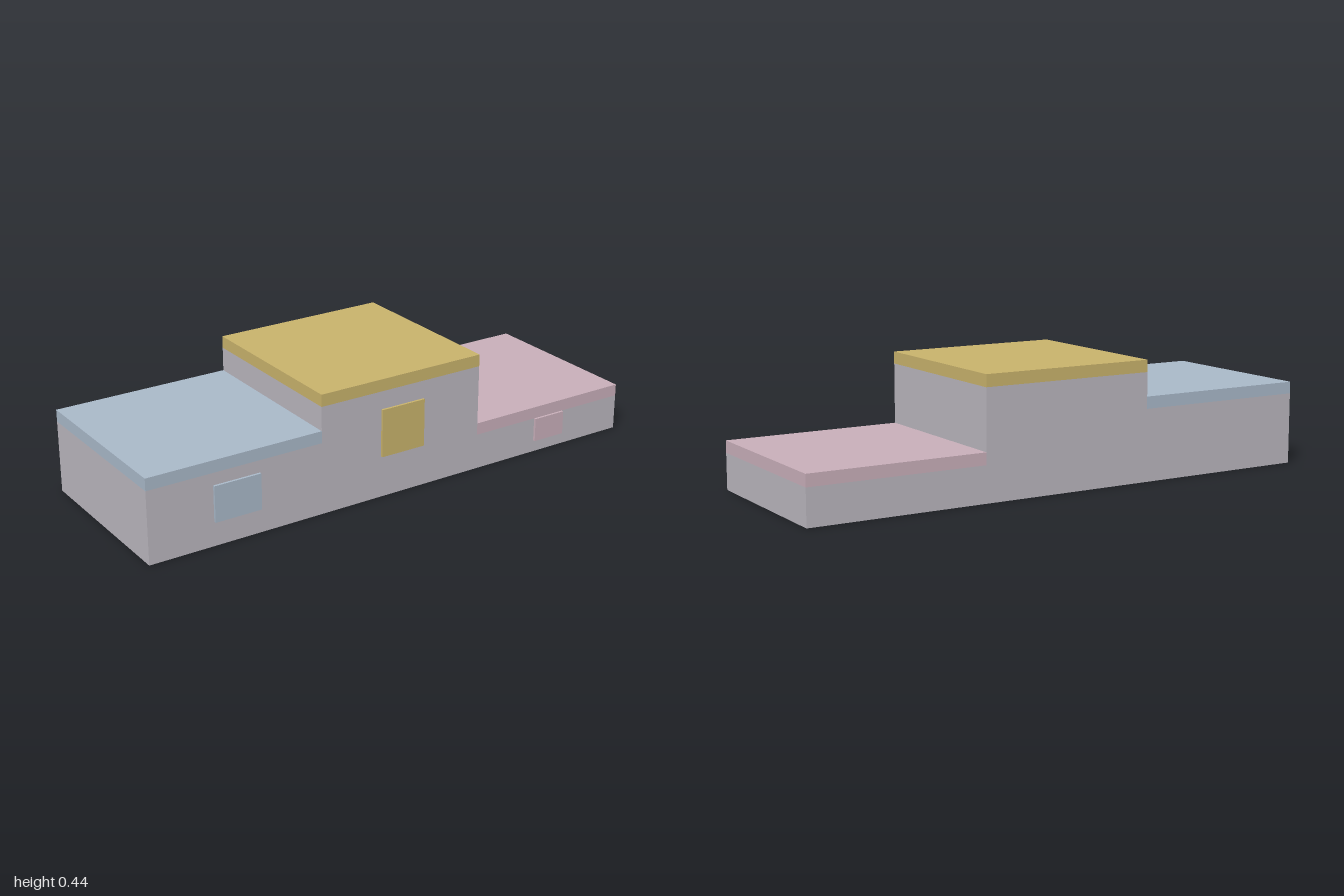
import * as THREE from 'three';

const material = (name, color) => {
  const m = new THREE.MeshStandardMaterial({ color });
  m.name = name;
  return m;
};

export function createModel() {
  const grey = material('stone grey', 0xbab6be);
  const gold = material('gold', 0xc9b36c);
  const blue = material('pale blue', 0xa9b9c9);
  const pink = material('dusty pink', 0xc9afba);

  const width = 2 / 3, depth = 2 / 3, capHeight = 0.0445;
  const back = -0.338, front = back + depth, plaqueDepth = 0.009;

  const group = new THREE.Group();
  group.name = 'podium';

  // x centre, full height, colour, plaque width and height
  const steps = [
    { name: 'second', x: -width, h: 0.3115, mat: blue, pw: 0.178, ph: 0.133 },
    { name: 'first', x: 0, h: 0.4445, mat: gold, pw: 0.178, ph: 0.178 },
    { name: 'third', x: width, h: 0.178, mat: pink, pw: 0.133, ph: 0.089 },
  ];

  const box = (name, w, h, d, x, y, z, mat) => {
    const mesh = new THREE.Mesh(new THREE.BoxGeometry(w, h, d), mat);
    mesh.name = name;
    mesh.position.set(x, y, z);
    group.add(mesh);
  };

  // Stepped body as one extruded outline
  const outline = new THREE.Shape();
  outline.moveTo(-1, 0);
  for (const s of steps) {
    outline.lineTo(s.x - width / 2, s.h - capHeight);
    outline.lineTo(s.x + width / 2, s.h - capHeight);
  }
  outline.lineTo(1, 0);
  outline.closePath();
  const body = new THREE.Mesh(
    new THREE.ExtrudeGeometry(outline, { depth, bevelEnabled: false }), grey);
  body.name = 'steppedBody';
  body.position.z = back;
  group.add(body);

  // Coloured cap and front plaque of each step
  for (const s of steps) {
    box(s.name + 'StepCap', width, capHeight, depth,
      s.x, s.h - capHeight / 2, back + depth / 2, s.mat);
    box(s.name + 'StepPlaque', s.pw, s.ph, plaqueDepth,
      s.x, (s.h + capHeight) / 2 - capHeight / 2, front + plaqueDepth / 2, s.mat);
  }
  // Plaques sit at the middle of their step, slightly raised on the tallest one
  group.getObjectByName('firstStepPlaque').position.y = 0.2445;
  return group;
}
